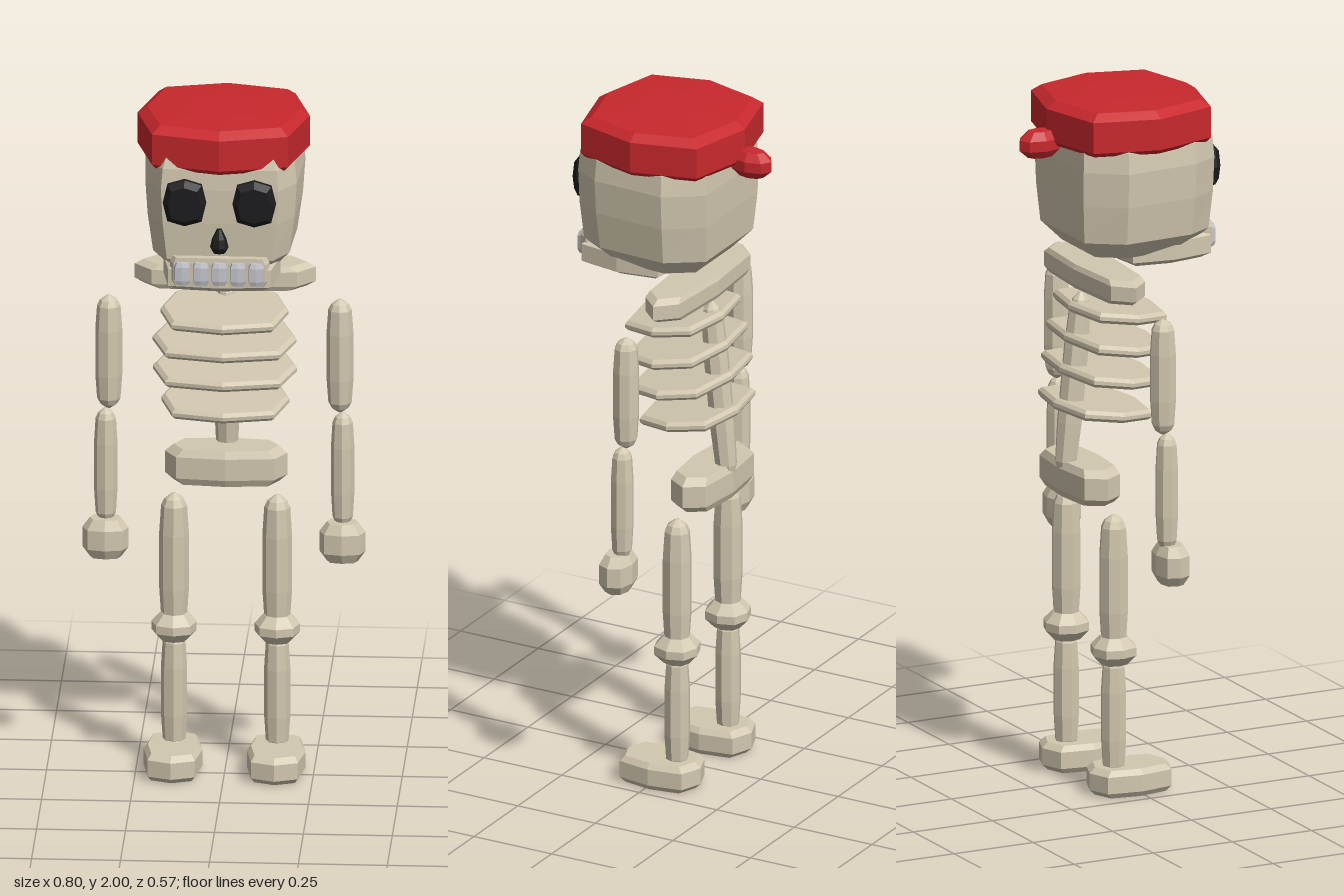
import * as THREE from 'three';

const mat = (name, color) => Object.assign(new THREE.MeshStandardMaterial({ color }), { name });

// Outlines run from the front (+z) round by the left (+x), in units of half size
const octagon = (c) => [[0, 1], [c, c], [1, 0], [c, -c], [0, -1], [-c, -c], [-1, 0], [-c, c]];

// Skin an outline through rings [y, scaleX, scaleZ], closed at both ends, faceted
function loft(outline, rings) {
  const n = outline.length;
  const pos = [];
  const at = (r, j) => {
    const [y, sx, sz = sx] = rings[r];
    const [x, z] = outline[j % n];
    return [x * sx, y, z * sz];
  };
  const last = rings.length - 1;
  for (let j = 0; j < n; j++) {
    for (let r = 0; r < last; r++) {
      const a = at(r, j), b = at(r, j + 1), c = at(r + 1, j + 1), d = at(r + 1, j);
      pos.push(...a, ...b, ...c, ...a, ...c, ...d);
    }
    pos.push(0, rings[0][0], 0, ...at(0, j + 1), ...at(0, j));
    pos.push(0, rings[last][0], 0, ...at(last, j), ...at(last, j + 1));
  }
  const g = new THREE.BufferGeometry();
  g.setAttribute('position', new THREE.Float32BufferAttribute(pos, 3));
  g.computeVertexNormals();
  return g;
}

// Eight-sided block with chamfered top and bottom
function block(w, h, d, { corner = 0.8, end = 0.82, waist = 0.6 } = {}) {
  const rows = [[-1, end], [-waist, 1], [waist, 1], [1, end]];
  return loft(octagon(corner), rows.map(([y, s]) => [y * h / 2, s * w / 2, s * d / 2]));
}

// Bone shaft: slim spindle with blunt pointed ends
function shaft(r, len) {
  const half = [[1, 0.15], [0.92, 0.65], [0.82, 0.87], [0.4, 1]];
  const rows = [...half.map(([y, s]) => [-y, s]), ...half.slice().reverse()];
  return loft(octagon(0.71), rows.map(([y, s]) => [y * len / 2, s * r]));
}

export function createModel() {
  const model = new THREE.Group();
  model.name = 'skeleton';
  const bone = mat('bone', 0xd2c8b0);
  const red = mat('capRed', 0xc8282d);
  const black = mat('socketBlack', 0x1c1c1e);
  const enamel = mat('toothGrey', 0xc6c6ce);

  const add = (name, geometry, material, x, y, z, tilt = 0) => {
    const m = new THREE.Mesh(geometry, material);
    m.name = name;
    m.position.set(x, y, z);
    m.rotation.x = tilt;
    model.add(m);
    return m;
  };

  // Skull: flat face, slanted cheeks, bevelled back corners
  const half = [[0.165, 0.2], [0.213, 0.12], [0.225, -0.1], [0.15, -0.205]];
  const skullOutline = [...half, ...half.slice().reverse().map(([x, z]) => [-x, z])];
  add('skull', loft(skullOutline, [
    [1.555, 0.68, 0.7], [1.61, 0.9, 0.95], [1.72, 0.97, 0.99], [1.82, 1, 1], [1.88, 0.97, 0.98], [1.93, 0.88, 0.9],
  ]), bone, 0, 0, 0.045);
  add('jaw', block(0.33, 0.085, 0.28, { corner: 0.88 }), bone, 0, 1.56, 0.122);
  add('gum', block(0.28, 0.085, 0.05, { corner: 0.92, end: 0.94 }), bone, 0, 1.58, 0.235);
  for (let i = -2; i <= 2; i++) {
    add('tooth', block(0.045, 0.066, 0.03, { corner: 0.85, end: 0.75 }), enamel, i * 0.052, 1.578, 0.258);
  }

  // Eye sockets and nose
  for (const s of [-1, 1]) {
    const eye = block(0.122, 0.05, 0.136, { corner: 0.79, end: 0.75, waist: 0.3 }).rotateX(Math.PI / 2);
    add('eyeSocket', eye, black, s * 0.098, 1.785, 0.25);
  }
  add('nose', loft(octagon(0.75), [
    [-0.035, 0.017, 0.014], [-0.018, 0.026, 0.024], [0.008, 0.02, 0.02], [0.035, 0.007, 0.008],
  ]), black, 0, 1.675, 0.257);

  // Cap and the knot behind it
  add('cap', loft(octagon(0.79), [
    [1.872, 0.23, 0.224], [1.885, 0.242, 0.235], [1.975, 0.242, 0.235], [1.995, 0.215, 0.205], [2, 0.1, 0.1],
  ]), red, 0, 0, 0.035);
  add('capKnot', block(0.08, 0.076, 0.13, { corner: 0.72, end: 0.6, waist: 0.4 }), red, 0, 1.878, -0.22);

  // Torso
  add('collarbone', block(0.51, 0.07, 0.136, { end: 0.9 }), bone, 0, 1.475, -0.048);
  add('spine', shaft(0.036, 0.54), bone, 0, 1.16, -0.117, 0.1);
  const ribs = [[1.375, 0.36, 0], [1.287, 0.405, -0.013], [1.196, 0.405, -0.028], [1.096, 0.36, -0.047]];
  for (const [y, w, z] of ribs) {
    add('rib', block(w, 0.03, 0.265, { end: 0.94, waist: 0.35 }), bone, 0, y, z, 0.11);
  }
  add('pelvis', block(0.345, 0.105, 0.14, { end: 0.86 }), bone, 0, 0.892, -0.095);

  // Arms and legs
  for (const s of [-1, 1]) {
    add('upperArm', shaft(0.038, 0.335), bone, s * 0.325, 1.25, 0);
    add('forearm', shaft(0.033, 0.34), bone, s * 0.333, 0.915, 0.008);
    add('hand', block(0.13, 0.115, 0.092, { corner: 0.76, end: 0.68, waist: 0.5 }), bone, s * 0.333, 0.705, 0.02);
    add('thigh', shaft(0.042, 0.4), bone, s * 0.145, 0.61, -0.063);
    add('knee', block(0.127, 0.08, 0.127, { corner: 0.75, end: 0.6, waist: 0.3 }), bone, s * 0.145, 0.416, -0.063);
    add('shin', shaft(0.037, 0.35), bone, s * 0.145, 0.225, -0.063);
    add('foot', block(0.165, 0.08, 0.25, { end: 0.86 }), bone, s * 0.145, 0.04, -0.014);
  }
  return model;
}
